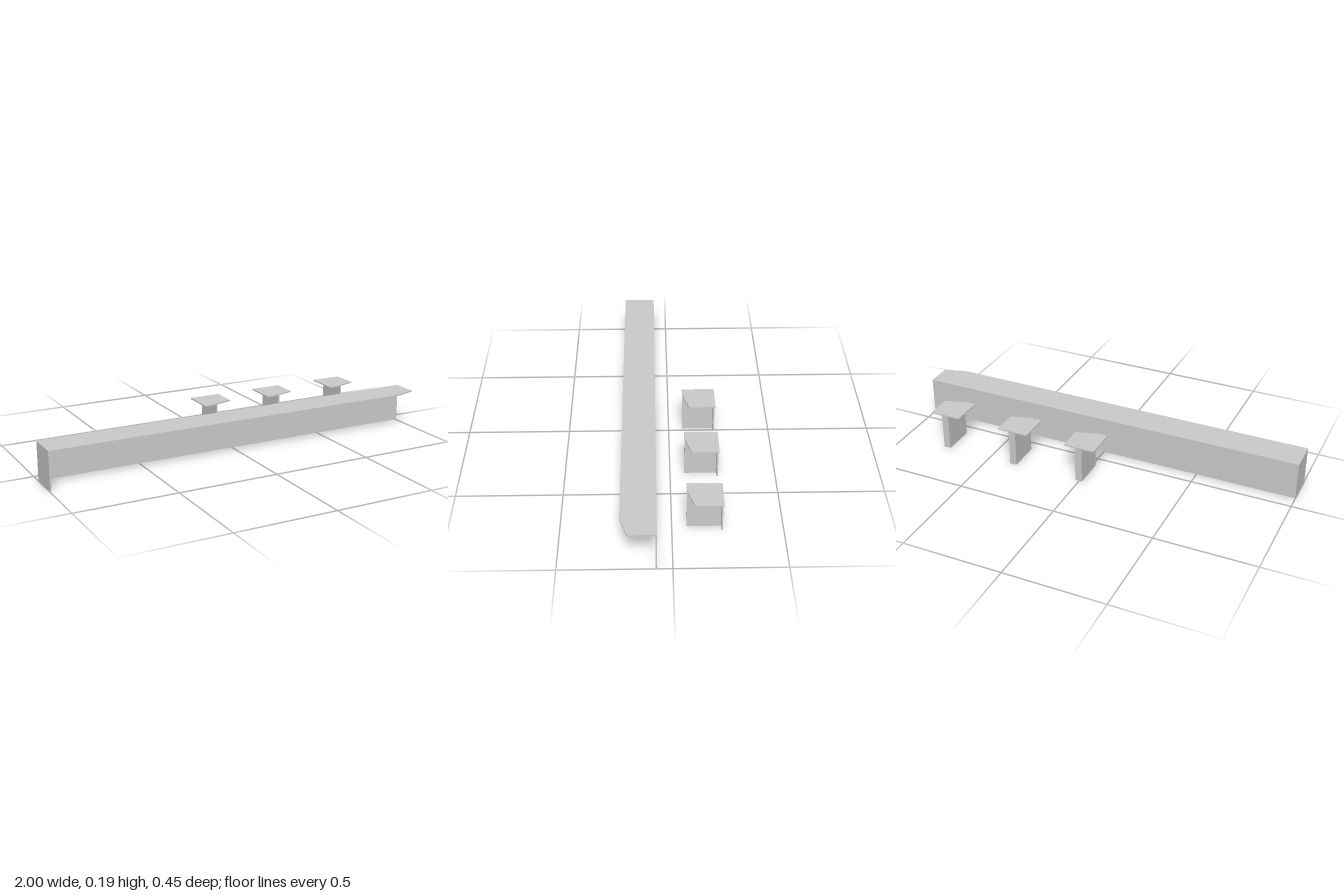
import * as THREE from 'three';

const material = new THREE.MeshStandardMaterial({ color: 0xcccccc, flatShading: true });
const FOOT = 0.004, UNDER = 0.187, TOP = 0.193, T = 0.007; // heights and board thickness
const DEPTH = 0.16;

function box(name, x0, x1, y0, y1, z0, z1) {
  const mesh = new THREE.Mesh(new THREE.BoxGeometry(x1 - x0, y1 - y0, z1 - z0), material);
  mesh.name = name;
  mesh.position.set((x0 + x1) / 2, (y0 + y1) / 2, (z0 + z1) / 2);
  return mesh;
}

function cylinder(name, r, y0, y1, x, z, sides) {
  const mesh = new THREE.Mesh(new THREE.CylinderGeometry(r, r, y1 - y0, sides), material);
  mesh.name = name;
  mesh.position.set(x, (y0 + y1) / 2, z);
  return mesh;
}

// Board with its front +x corner cut off along a softened diagonal
function worktop(x0, x1) {
  const shape = new THREE.Shape();
  shape.moveTo(x0, 0);
  shape.lineTo(x1, 0);
  shape.lineTo(x1, -DEPTH + 0.033);
  shape.lineTo(x1 - 0.095, -DEPTH + 0.005);
  shape.quadraticCurveTo(x1 - 0.11, -DEPTH, x1 - 0.13, -DEPTH);
  shape.lineTo(x0, -DEPTH);
  shape.closePath();
  const geometry = new THREE.ExtrudeGeometry(shape, { depth: TOP - UNDER, bevelEnabled: false, curveSegments: 4 });
  geometry.rotateX(-Math.PI / 2);
  const mesh = new THREE.Mesh(geometry, material);
  mesh.name = 'worktop';
  mesh.position.y = UNDER;
  return mesh;
}

// Worktop on an L of side panel and back panel; back edge at local z = 0
function desk(name, topX0, topX1, panelX0, panelX1) {
  const group = new THREE.Group();
  group.name = name;
  group.add(
    worktop(topX0, topX1),
    box('sidePanel', panelX0, panelX0 + T, FOOT, UNDER, T, DEPTH),
    box('backPanel', panelX0, panelX1, FOOT, UNDER, 0, T)
  );
  for (const z of [0.014, DEPTH - 0.014]) {
    group.add(cylinder('foot', 0.002, 0, FOOT, panelX0 + T / 2, z, 10));
  }
  return group;
}

export function createModel() {
  const model = new THREE.Group();
  model.name = 'counterSet';

  // Long counter at the front
  const counter = desk('longCounter', -1, 1, -1, 1);
  counter.position.z = 0.067;
  model.add(counter);

  // Row of three small tables behind it
  [-0.003, 0.358, 0.74].forEach((x, i) => {
    const table = desk('smallTable' + (i + 1), -0.079, 0.079, -0.015, 0.02);
    table.position.set(x, 0, -0.227);
    // Cable cap on the first table
    if (i === 0) table.add(cylinder('cableCap', 0.009, TOP, TOP + 0.002, 0, 0.027, 20));
    model.add(table);
  });
  return model;
}
